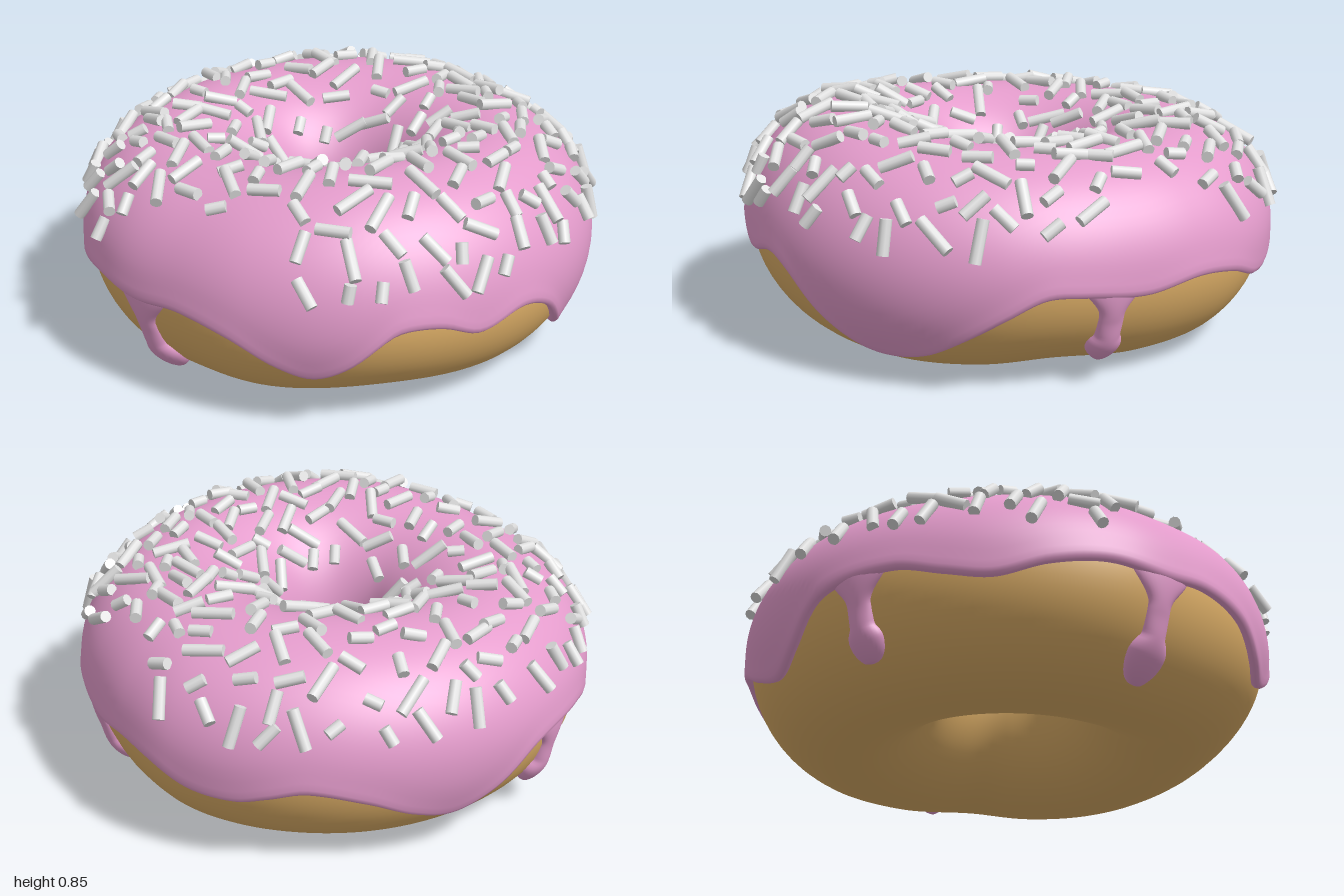
import * as THREE from 'three';
import { mergeGeometries } from 'three/addons/utils/BufferGeometryUtils.js';

const RAD = Math.PI / 180;
const MID_Y = 0.39;   // height of the widest point of the ring
const ICING = 0.025;  // icing thickness

// Smooth periodic curve through [degrees, value] knots
function around(knots) {
  const n = knots.length;
  const at = i => {
    const w = Math.floor(i / n), k = knots[i - w * n];
    return [k[0] + 360 * w, k[1]];
  };
  const slope = i => (at(i + 1)[1] - at(i - 1)[1]) / (at(i + 1)[0] - at(i - 1)[0]);
  return theta => {
    let d = theta / RAD;
    while (d < knots[0][0]) d += 360;
    while (d >= knots[0][0] + 360) d -= 360;
    let i = 0;
    while (at(i + 1)[0] <= d) i++;
    const [x0, y0] = at(i), [x1, y1] = at(i + 1);
    const h = x1 - x0, t = (d - x0) / h, t2 = t * t, t3 = t2 * t;
    return (2 * t3 - 3 * t2 + 1) * y0 + (t3 - 2 * t2 + t) * h * slope(i)
      + (3 * t2 - 2 * t3) * y1 + (t3 - t2) * h * slope(i + 1);
  };
}

// Angles run from the front (0) towards +x (90)
const outerR = around([[-150, 0.95], [-120, 0.945], [-90, 0.95], [-60, 0.965], [-43, 0.958], [-25, 0.98], [0, 0.995],
  [30, 0.985], [60, 0.97], [90, 0.95], [118, 0.935], [135, 0.955], [150, 0.98], [180, 0.965]]);
const innerR = around([[-150, 0.175], [-120, 0.18], [-90, 0.18], [-60, 0.19], [-30, 0.22], [0, 0.23],
  [30, 0.22], [60, 0.2], [90, 0.18], [180, 0.17]]);
const topY = around([[-135, 0.75], [-90, 0.745], [-45, 0.765], [0, 0.81], [45, 0.8], [90, 0.77], [135, 0.765], [180, 0.765]]);
const lift = around([[-120, 0], [-60, 0], [-25, 0.015], [5, 0.05], [35, 0.015], [60, 0], [85, 0.01], [105, 0.03], [130, 0.005], [180, 0]]);
const icingEdge = around([[-180, 0.33], [-168, 0.28], [-158, 0.2], [-148, 0.155], [-138, 0.21], [-127, 0.33],
  [-109, 0.35], [-98, 0.31], [-88, 0.29], [-77, 0.34], [-65, 0.37], [-52, 0.36], [-40, 0.38], [-28, 0.34], [-18, 0.25],
  [-11, 0.21], [-4, 0.26], [4, 0.38], [8, 0.4], [15, 0.39], [23, 0.34], [34, 0.38], [42, 0.33], [50, 0.2], [58, 0.11],
  [66, 0.09], [75, 0.12], [84, 0.2], [92, 0.28], [100, 0.35], [108, 0.35], [122, 0.33], [135, 0.36],
  [145, 0.34], [155, 0.28], [165, 0.27], [172, 0.3]]);

const bottomH = theta => MID_Y + ICING - lift(theta);

// Point of the ring: theta goes round the hole, phi round the section (0 outside, 90 top)
function surface(theta, phi, off = 0) {
  const ro = outerR(theta), ri = innerR(theta), s = Math.sin(phi);
  const h = s > 0 ? topY(theta) - MID_Y : bottomH(theta);
  const r = (ro + ri) / 2 + ((ro - ri) / 2 + off) * Math.cos(phi);
  return new THREE.Vector3(r * Math.sin(theta), MID_Y + (h + off) * s, r * Math.cos(theta));
}

// Section angle on the outer side for a given height near or below the middle
function phiAt(theta, y) {
  return Math.asin(THREE.MathUtils.clamp((y - MID_Y) / bottomH(theta), -0.99, 0.99));
}

// Smooth grid of points, optionally closed in either direction
function grid(nu, nv, point, closeU, closeV) {
  const cu = closeU ? nu : nu + 1, cv = closeV ? nv : nv + 1;
  const pos = [], index = [];
  for (let i = 0; i < cu; i++) for (let j = 0; j < cv; j++) pos.push(...point(i, j).toArray());
  const id = (i, j) => (i % cu) * cv + (j % cv);
  for (let i = 0; i < nu; i++) for (let j = 0; j < nv; j++) {
    const a = id(i, j), b = id(i + 1, j), c = id(i + 1, j + 1), d = id(i, j + 1);
    index.push(a, b, c, a, c, d);
  }
  const g = new THREE.BufferGeometry();
  g.setAttribute('position', new THREE.Float32BufferAttribute(pos, 3));
  g.setIndex(index);
  g.computeVertexNormals();
  return g;
}

// Icing shell with a rounded lip at both rims
function icingGeometry() {
  const N = 240, M = 36;
  const lip = [[0.02, -0.034], [0, -0.018], [0.005, -0.005], [0.03, 0.003], [0.07, 0.005], [0.13, 0.002]];
  const L = lip.length, last = M + 2 * L - 1;
  return grid(N, last, (i, j) => {
    const theta = i / N * 2 * Math.PI;
    const p0 = phiAt(theta, icingEdge(theta)), p1 = (188 + 5 * Math.sin(3 * theta)) * RAD;
    if (j < L) return surface(theta, p0 + lip[j][0], lip[j][1]);
    if (j > last - L) return surface(theta, p1 - lip[last - j][0], lip[last - j][1]);
    const t = (j - L + 1) / (last - 2 * L + 2);
    return surface(theta, p0 + 0.13 + t * (p1 - p0 - 0.26), 0);
  }, true, false);
}

// Hanging drop: flared at the icing, thin neck, round bulb
function dripGeometry(deg, bottom, bulb) {
  const NU = 16, NV = 48, top = 0.42;
  return grid(NU, NV, (i, j) => {
    const t = j / NV, s = -Math.cos(i / NU * Math.PI), y = bottom + (top - bottom) * t * t * (1.5 - 0.5 * t);
    const d = (y - bottom) / bulb;
    const ball = d < 1 ? Math.sqrt(Math.max(0, 1 - (d - 1) ** 2)) : 1 - THREE.MathUtils.smoothstep(d, 1, 2.6);
    const neck = d > 1 ? 0.05 + 0.08 * THREE.MathUtils.smoothstep(y, 0.26, 0.4) : 0;
    const w = Math.max(bulb * ball, neck);
    const rise = (ICING + 0.004 + 0.02 * ball) * Math.min(1, w / 0.035);
    const phi = phiAt(deg * RAD, y);
    const theta = deg * RAD + s * w / (0.575 + 0.385 * Math.cos(phi));
    return surface(theta, phi, -ICING - 0.006 + rise * Math.sqrt(Math.max(0, 1 - s * s)));
  }, false, false);
}

// Rods scattered over the icing, lying roughly along the surface
function sprinkleGeometry() {
  let seed = 7;
  const rand = () => (seed = (seed * 16807) % 2147483647) / 2147483647;
  const rods = [], placed = [];
  for (let tries = 0; tries < 6000 && rods.length < 235; tries++) {
    const deg = rand() * 360 - 180, theta = deg * RAD, phi = (22 + 126 * rand()) * RAD;
    const p = surface(theta, phi), r = Math.hypot(p.x, p.z);
    if (rand() > r) continue;
    // bare patches on the outer slope
    if (r > 0.8 && ((deg > -62 && deg < -14) || (deg > 112 && deg < 142))) continue;
    if (placed.some(q => q.distanceTo(p) < 0.09)) continue;
    placed.push(p);
    const along = surface(theta + 0.01, phi).sub(p).normalize();
    const up = surface(theta, phi + 0.01).sub(p).normalize();
    const normal = along.clone().cross(up).normalize();
    const turn = (rand() - 0.5) * Math.PI * Math.max(0.15, Math.min(1, normal.y * 1.25));
    const dir = up.multiplyScalar(Math.cos(turn)).addScaledVector(along, Math.sin(turn))
      .addScaledVector(normal, (rand() - 0.5) * 0.4).normalize();
    const rod = new THREE.CylinderGeometry(0.021, 0.021, 0.06 + 0.09 * rand(), 10);
    rod.applyQuaternion(new THREE.Quaternion().setFromUnitVectors(new THREE.Vector3(0, 1, 0), dir));
    const c = p.clone().addScaledVector(normal, 0.014);
    rods.push(rod.translate(c.x, c.y, c.z));
  }
  return mergeGeometries(rods);
}

export function createModel() {
  const group = new THREE.Group();
  group.name = 'donut';
  const mat = (name, color) => Object.assign(new THREE.MeshStandardMaterial({ color }), { name });
  const doughMat = mat('dough', 0xdfb068);
  const icingMat = mat('pinkIcing', 0xe49ccc);
  const sprinkleMat = mat('paleSprinkle', 0xe2e2e2);
  const add = (name, geometry, material) => {
    const m = new THREE.Mesh(geometry, material);
    m.name = name;
    group.add(m);
  };

  const NU = 144, NV = 64;
  add('dough', grid(NU, NV, (i, j) =>
    surface(i / NU * 2 * Math.PI, j / NV * 2 * Math.PI, -ICING), true, true), doughMat);
  add('icing', icingGeometry(), icingMat);
  add('frontDrip', dripGeometry(-52, 0.03, 0.08), icingMat);
  add('leftDrip', dripGeometry(115, 0.07, 0.068), icingMat);
  add('rightDrip', dripGeometry(-118, 0.08, 0.07), icingMat);
  add('sprinkles', sprinkleGeometry(), sprinkleMat);
  return group;
}
